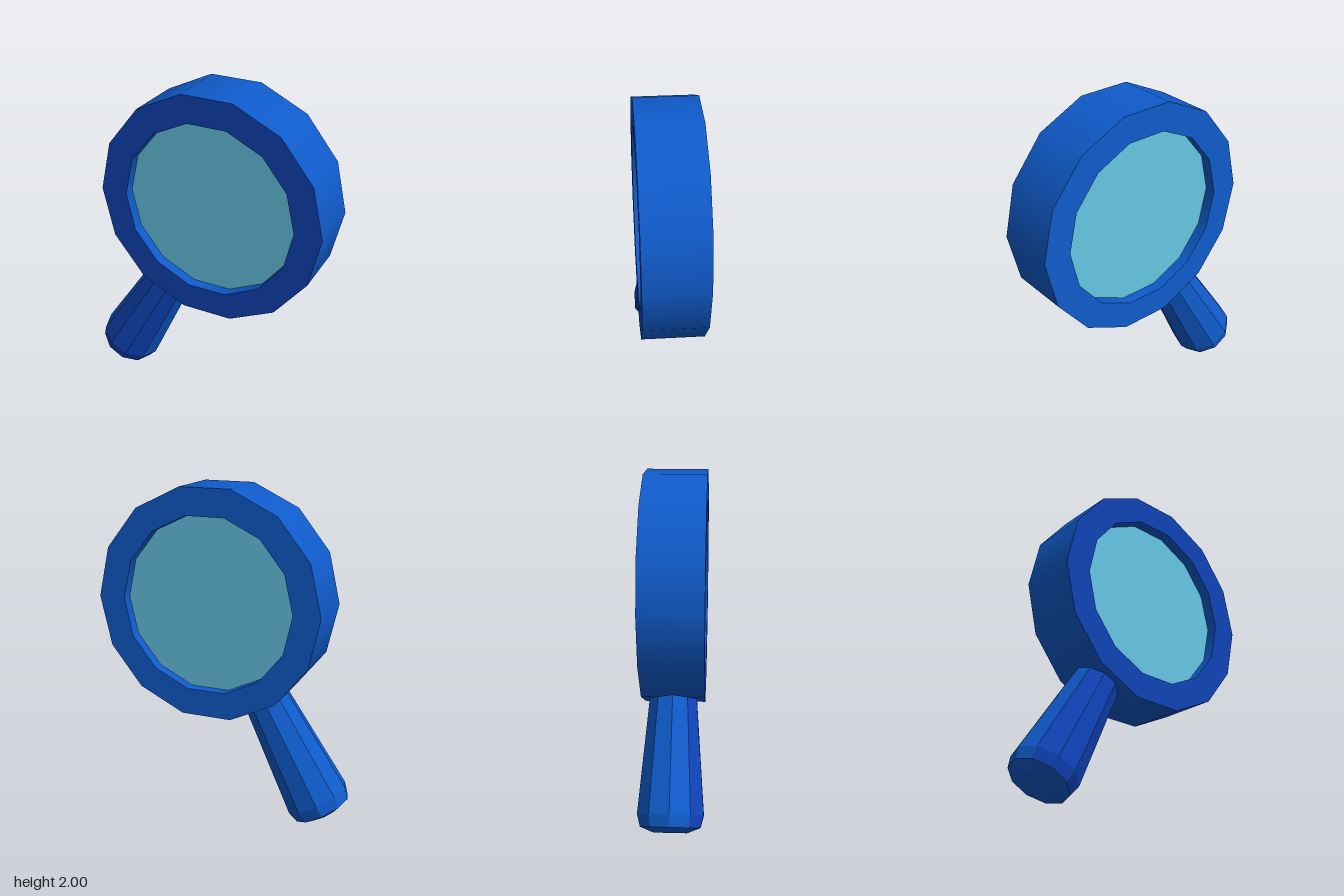
import * as THREE from 'three';

const SIDES = 14, OUTER = 0.695, INNER = 0.53, HALF = 0.182;

export function createModel() {
  const blue = new THREE.MeshStandardMaterial({ color: 0x0f5bcb });
  blue.name = 'blue';
  const deepBlue = new THREE.MeshStandardMaterial({ color: 0x0f43b8 });
  deepBlue.name = 'deepBlue';
  const glass = new THREE.MeshStandardMaterial({ color: 0x66c6e4 });
  glass.name = 'glass';

  const model = new THREE.Group();
  model.name = 'magnifyingGlass';
  const add = (parent, name, geometry, material) => {
    const mesh = new THREE.Mesh(geometry, material);
    mesh.name = name;
    parent.add(mesh);
    return mesh;
  };

  // Rim: smooth outer and inner walls, flat front and back rings
  const rim = new THREE.Group();
  rim.name = 'rim';
  rim.position.set(0.075, 1.322, 0);
  model.add(rim);
  const wall = (radius, from, to) => new THREE.LatheGeometry(
    [new THREE.Vector2(radius, from), new THREE.Vector2(radius, to)],
    SIDES, Math.PI / 2).rotateX(Math.PI / 2);
  add(rim, 'rimOuterWall', wall(OUTER, -HALF, HALF), blue);
  add(rim, 'rimInnerWall', wall(INNER, HALF, -HALF), blue);
  const ring = () => new THREE.RingGeometry(INNER, OUTER, SIDES, 1);
  add(rim, 'rimFront', ring().translate(0, 0, HALF), deepBlue);
  add(rim, 'rimBack', ring().rotateY(Math.PI).translate(0, 0, -HALF), blue);

  // Lens set back from both faces of the rim
  add(rim, 'lens', new THREE.CylinderGeometry(INNER, INNER, 0.23, SIDES, 1, false, Math.PI / 2)
    .rotateX(Math.PI / 2), glass);

  // Handle: ten flat facets, the three front ones in the deeper blue
  const handle = new THREE.Group();
  handle.name = 'handle';
  handle.position.set(-0.579, 0.15, 0);
  handle.rotation.z = THREE.MathUtils.degToRad(-29.5);
  model.add(handle);
  const facets = (profile, firstDegrees, count) => {
    const geometry = new THREE.LatheGeometry(
      profile.map(([r, y]) => new THREE.Vector2(r, y)), count,
      THREE.MathUtils.degToRad(firstDegrees), count * Math.PI / 5).toNonIndexed();
    geometry.computeVertexNormals();
    return geometry;
  };
  const grip = [[0.178, -0.07], [0.197, 0], [0.138, 0.72]];
  add(handle, 'handleFront', facets(grip, -54, 3), deepBlue);
  add(handle, 'handleBack', facets(grip, 54, 7), blue);
  add(handle, 'handleEnd', facets([[0, -0.1], [0.1, -0.1], [0.178, -0.07]], -54, 10), blue);

  return model;
}
